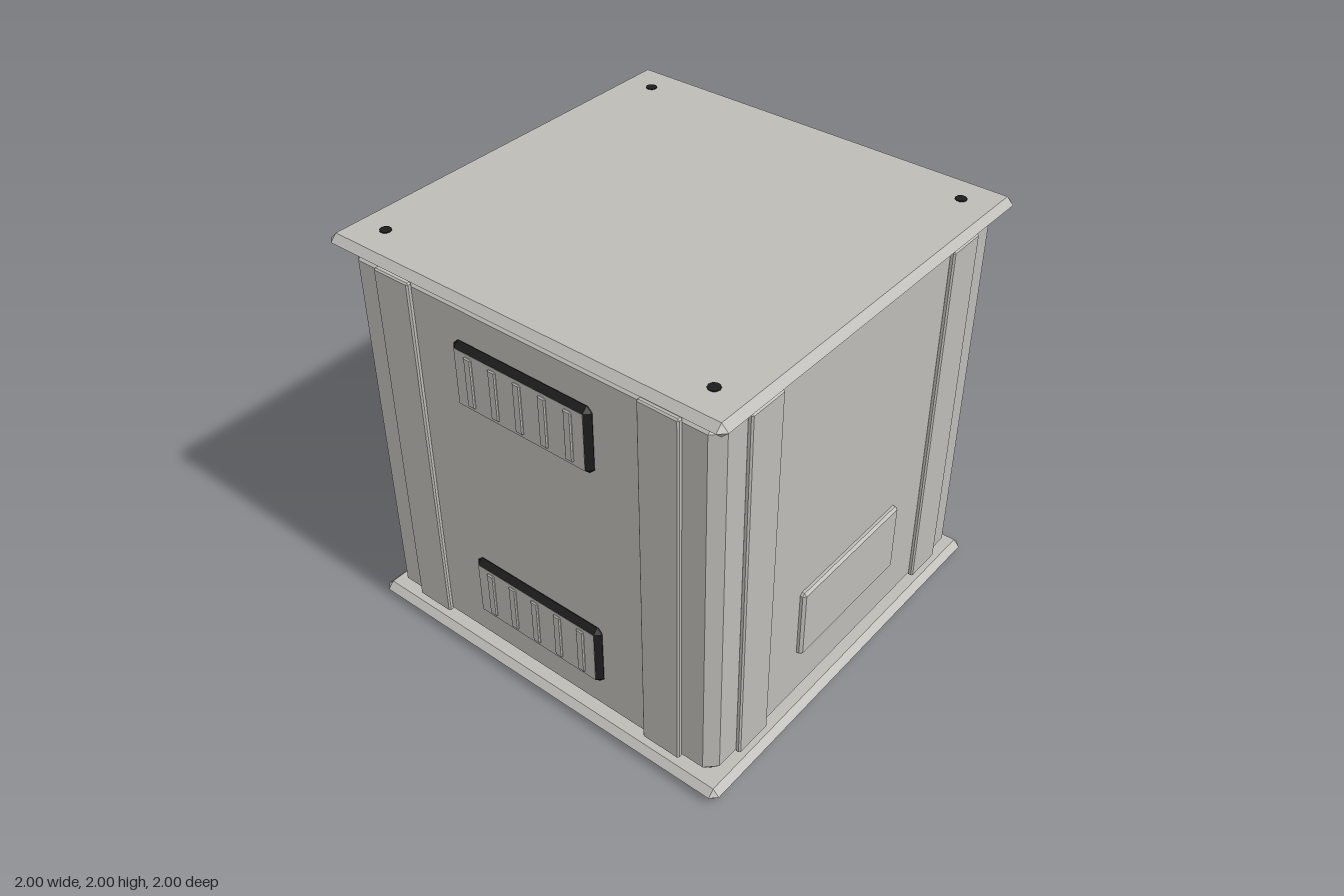
import * as THREE from 'three';
import { ConvexGeometry } from 'three/addons/geometries/ConvexGeometry.js';

const grey = new THREE.MeshStandardMaterial({ name: 'grey metal', color: 0xbdbbb6 });
const black = new THREE.MeshStandardMaterial({ name: 'black rubber', color: 0x1c1c1c });

// Box with every edge chamfered by b
function bevelBox(w, h, d, b) {
  const points = new Map();
  for (const sx of [-1, 1]) for (const sy of [-1, 1]) for (const sz of [-1, 1]) {
    for (let axis = 0; axis < 3; axis++) {
      const p = [w, h, d].map((s, i) => s / 2 - (i === axis ? 0 : b));
      const v = new THREE.Vector3(sx * p[0], sy * p[1], sz * p[2]);
      points.set(v.toArray().map((n) => n.toFixed(5)).join(), v);
    }
  }
  return new ConvexGeometry([...points.values()]);
}

function add(parent, name, geometry, material, x, y, z) {
  const mesh = new THREE.Mesh(geometry, material);
  mesh.name = name;
  mesh.position.set(x, y, z);
  parent.add(mesh);
  return mesh;
}

// Raised vent: black chamfered surround, grey face and five slats
function vent(y) {
  const group = new THREE.Group();
  group.name = 'vent';
  add(group, 'ventSurround', bevelBox(0.72, 0.32, 0.052, 0.025), black, 0, y, 0.946);
  add(group, 'ventFace', new THREE.BoxGeometry(0.67, 0.27, 0.004), grey, 0, y, 0.971);
  const slat = bevelBox(0.04, 0.24, 0.03, 0.005);
  for (let i = -2; i <= 2; i++) add(group, 'ventSlat', slat, grey, i * 0.13, y, 0.966);
  return group;
}

export function createModel() {
  const model = new THREE.Group();
  model.name = 'crate';

  add(model, 'body', bevelBox(1.88, 1.87, 1.88, 0.05), grey, 0, 1, 0);

  // Top and bottom plates with a bolt at each corner
  const plate = bevelBox(2, 0.062, 2, 0.031);
  const bolt = new THREE.CylinderGeometry(0.026, 0.026, 0.02, 10);
  for (const s of [-1, 1]) {
    add(model, s > 0 ? 'topPlate' : 'bottomPlate', plate, grey, 0, 1 + s * 0.965, 0);
    for (const x of [-0.83, 0.83]) for (const z of [-0.83, 0.83]) {
      add(model, 'bolt', bolt, black, x, 1 + s * 0.99, z);
    }
  }

  // Four sides: straps on all, a panel front and back, vents left and right
  const strap = bevelBox(0.195, 1.806, 0.027, 0.007);
  const panel = bevelBox(0.72, 0.36, 0.04, 0.012);
  ['front', 'left', 'back', 'right'].forEach((label, i) => {
    const side = new THREE.Group();
    side.name = label + 'Side';
    side.rotation.y = i * Math.PI / 2;
    for (const s of [-1, 1]) add(side, 'strap', strap, grey, s * 0.68, 1.002, 0.9475);
    if (i % 2 === 0) add(side, 'panel', panel, grey, 0, 0.525, 0.945);
    else side.add(vent(1.585), vent(0.423));
    model.add(side);
  });

  return model;
}
